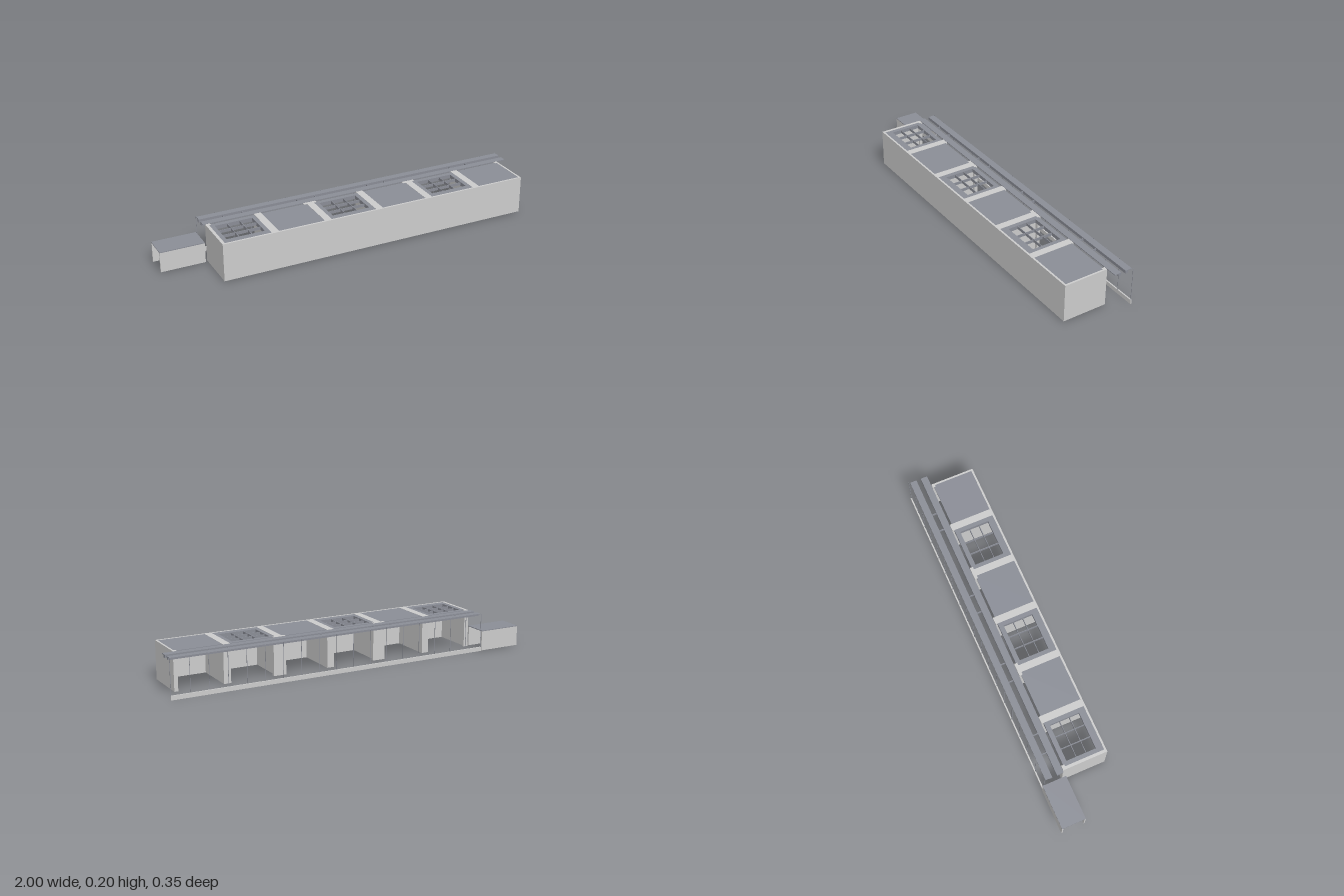
import * as THREE from 'three';

const wallMat = new THREE.MeshStandardMaterial({ color: 0xcccccc });
const darkMat = new THREE.MeshStandardMaterial({ color: 0x8a8d96 });

export function createModel() {
  const model = new THREE.Group();

  // Box given by its min and max along each axis
  function block(name, x0, x1, y0, y1, z0, z1, mat = wallMat) {
    const mesh = new THREE.Mesh(new THREE.BoxGeometry(x1 - x0, y1 - y0, z1 - z0), mat);
    mesh.position.set((x0 + x1) / 2, (y0 + y1) / 2, (z0 + z1) / 2);
    mesh.name = name;
    model.add(mesh);
    return mesh;
  }

  const H = 0.203;
  const left = -0.755, right = 0.94;

  // Outer shell: front wall and two end walls, open at the back and below
  block('frontWall', left, right, 0.003, H, 0.165, 0.175);
  block('endWall', left, left + 0.015, 0.003, H, -0.045, 0.165);
  block('endWall', right - 0.01, right, 0.003, H, -0.045, 0.165);
  block('endPillar', left, left + 0.025, 0.003, H, -0.062, -0.045);
  block('endPillar', right - 0.02, right, 0.003, H, -0.062, -0.045);

  // Partitions between rooms, every second one with a wider pillar behind
  const partitions = [-0.479, -0.193, 0.093, 0.379, 0.664];
  partitions.forEach((x, i) => {
    block('partition', x - 0.019, x + 0.019, 0.003, H, -0.045, 0.165);
    const w = i % 2 ? 0.034 : 0.019;
    block('pillar', x - w, x + w, 0.003, H, -0.062, -0.045);
  });

  // Roofs: alternate rooms have a skylight with a lattice of bars
  const edges = [left + 0.015, ...partitions.flatMap(x => [x - 0.019, x + 0.019]), right - 0.01];
  const z0 = -0.052, z1 = 0.165;
  for (let room = 0; room < 6; room++) {
    const a = edges[room * 2], b = edges[room * 2 + 1];
    if (room % 2) {
      block('roofPanel', a, b, H - 0.01, H - 0.001, z0, z1, darkMat);
      continue;
    }
    const c = a + 0.022, d = b - 0.022, s0 = -0.028, s1 = 0.13;
    const shape = new THREE.Shape([
      new THREE.Vector2(a, -z1), new THREE.Vector2(b, -z1),
      new THREE.Vector2(b, -z0), new THREE.Vector2(a, -z0)]);
    shape.holes.push(new THREE.Path([
      new THREE.Vector2(c, -s1), new THREE.Vector2(c, -s0),
      new THREE.Vector2(d, -s0), new THREE.Vector2(d, -s1)]));
    const geo = new THREE.ExtrudeGeometry(shape, { depth: 0.02, bevelEnabled: false });
    geo.rotateX(-Math.PI / 2).translate(0, H - 0.021, 0);
    const frame = new THREE.Mesh(geo, darkMat);
    frame.name = 'skylightFrame';
    model.add(frame);
    for (let k = 1; k <= 2; k++) {
      const x = c + (d - c) * k / 3, z = s0 + (s1 - s0) * k / 3;
      block('skylightBar', x - 0.0015, x + 0.0015, H - 0.018, H - 0.003, s0, s1, darkMat);
      block('skylightBar', c, d, H - 0.018, H - 0.003, z - 0.0015, z + 0.0015, darkMat);
    }
  }

  // Overhead walkway: two planks on beams with cross ties
  for (const [p0, p1, b0, b1] of [[-0.1, -0.064, -0.1, -0.085], [-0.161, -0.125, -0.14, -0.125]]) {
    block('plank', -0.765, 0.995, 0.199, 0.203, p0, p1, darkMat);
    block('beam', -0.765, 0.995, 0.187, 0.199, b0, b1, darkMat);
  }
  for (const x of [-0.64, -0.535, -0.235, -0.134, 0.17, 0.27, 0.675, 0.775]) {
    block('crossTie', x - 0.002, x + 0.002, 0.187, 0.199, -0.14, -0.085, darkMat);
  }

  // Bottom rail with a row of thin posts
  block('bottomRail', -0.765, 1, 0, 0.022, -0.172, -0.165);
  for (let i = 0; i <= 18; i++) {
    const x = -0.764 + i * 0.0979;
    block('post', x - 0.001, x + 0.001, 0.01, 0.203, -0.168, -0.166, darkMat);
  }

  // Low tunnel at the end: two side walls and a roof, open at both ends
  block('tunnelWall', -1, -0.767, 0.003, 0.108, -0.175, -0.168);
  block('tunnelWall', -1, -0.767, 0.003, 0.108, -0.055, -0.048);
  block('tunnelRoof', -1, -0.767, 0.108, 0.112, -0.175, -0.048, darkMat);

  return model;
}
